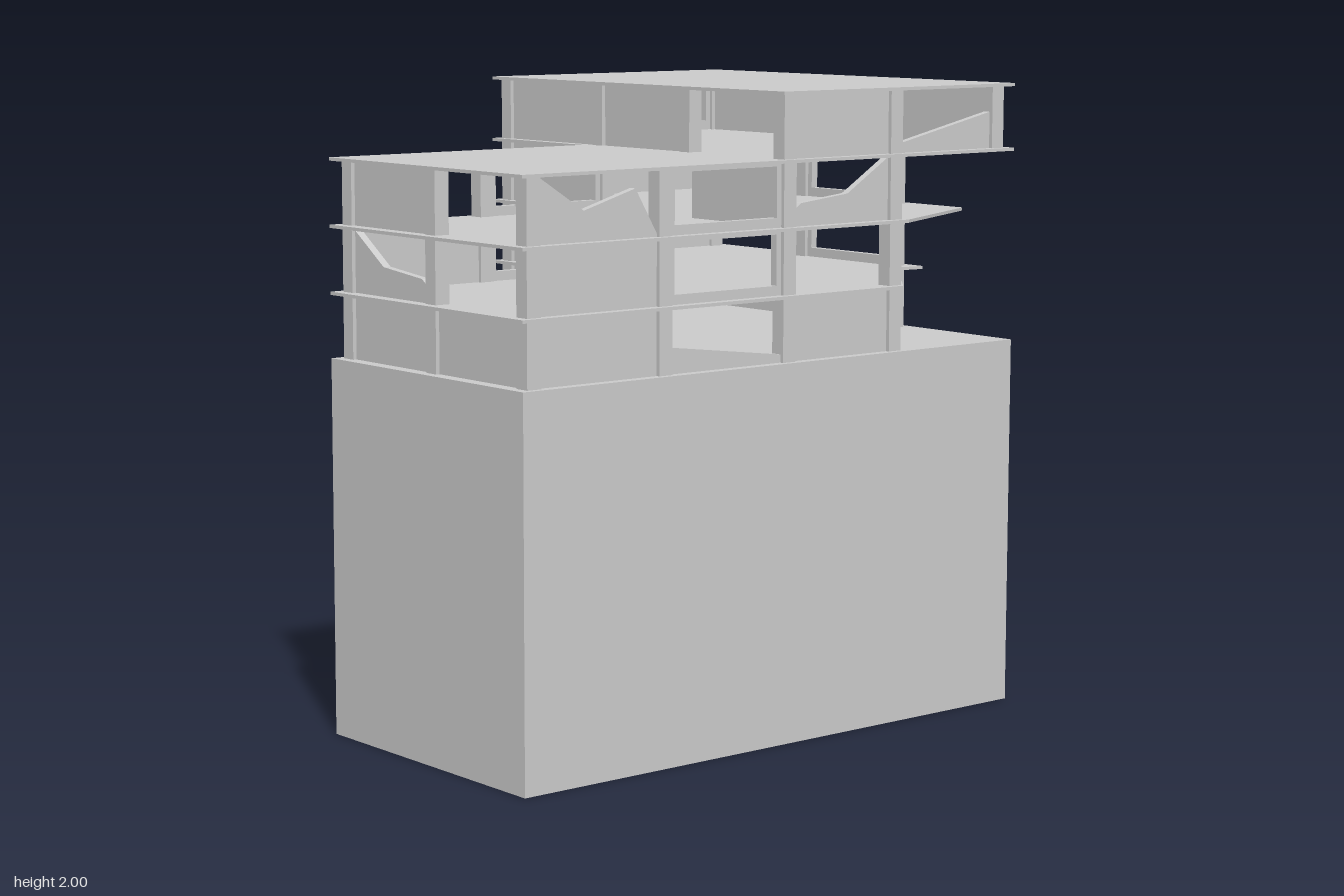
import * as THREE from 'three';

const material = new THREE.MeshStandardMaterial({ color: 0xcccccc, flatShading: true, side: THREE.DoubleSide });

const BASE = 1.18, STOREY = 0.205, SLAB = 0.01, COLUMN = 0.05, WALL = 0.025;
// Column grid lines
const X = [-0.925, -0.44, 0.045, 0.485, 0.925];
const Z = [0.685, 0.24, -0.195, -0.685];

// Flat plan outline [x, z] raised into a block with its underside at y
function planBlock(name, outline, y, height) {
  const shape = new THREE.Shape(outline.map(([x, z]) => new THREE.Vector2(x, -z)));
  const geometry = new THREE.ExtrudeGeometry(shape, { depth: height, bevelEnabled: false });
  geometry.rotateX(-Math.PI / 2);
  const mesh = new THREE.Mesh(geometry, material);
  mesh.name = name;
  mesh.position.y = y;
  return mesh;
}

// Wall panel between two columns. kind: 'solid', 'window' or a broken top edge [[u, y], ...]
function panel(along, from, to, offset, storey, kind) {
  const a = Math.min(from, to) + COLUMN / 2, b = Math.max(from, to) - COLUMN / 2;
  const y0 = BASE + storey * STOREY, y1 = y0 + STOREY - SLAB;
  const top = Array.isArray(kind) ? kind : [[a, y1], [b, y1]];
  const outline = [[a, y0], ...top, [b, y0]].map(([u, y]) => new THREE.Vector2(u, y));
  const shape = new THREE.Shape(outline);
  if (kind === 'window') {
    const l = a + 0.018, r = b - 0.018, s = y0 + 0.03, t = y1 - 0.01;
    shape.holes.push(new THREE.Path([[l, s], [r, s], [r, t], [l, t]].map(([u, y]) => new THREE.Vector2(u, y))));
  }
  const geometry = new THREE.ExtrudeGeometry(shape, { depth: WALL, bevelEnabled: false });
  geometry.translate(0, 0, -WALL / 2);
  if (along === 'z') geometry.rotateY(-Math.PI / 2);
  const mesh = new THREE.Mesh(geometry, material);
  mesh.name = kind === 'window' ? 'windowWall' : kind === 'solid' ? 'wall' : 'brokenWall';
  mesh.position[along === 'z' ? 'x' : 'z'] = offset;
  return mesh;
}

export function createModel() {
  const model = new THREE.Group();
  model.name = 'damagedBuilding';

  // L-shaped lower block
  const back = [[0.98, -0.735], [0, -0.735], [0, -0.245], [-0.98, -0.245], [-0.98, 0.73]];
  const full = [...back, [0.98, 0.73]];
  model.add(planBlock('lowerBlock', full, 0, BASE));

  // Floor slabs, the lower two broken at the front corner
  const slabs = [
    [...back, [0.5, 0.73], [0.88, 0.305], [0.98, 0.32]],
    [...back, [0.52, 0.73], [0.965, 0.51], [0.98, 0.5]],
    full,
    [[0.98, -0.735], [0, -0.735], [0, 0.73], [0.98, 0.73]],
  ];
  slabs.forEach((outline, i) => {
    const name = i === 3 ? 'upperRoof' : 'floorSlab';
    model.add(planBlock(name, outline, BASE + (i + 1) * STOREY - SLAB, SLAB));
  });

  // Columns around the perimeter: [x index, z index, first storey, last storey]
  const columns = new THREE.Group();
  columns.name = 'columns';
  const spots = [
    [0, 0, 0, 2], [1, 0, 0, 2], [2, 0, 0, 3], [3, 0, 0, 3], [4, 0, 3, 3],
    [0, 1, 0, 2], [2, 1, 3, 3], [4, 1, 0, 3],
    [0, 2, 0, 2], [1, 2, 0, 2], [2, 2, 0, 3], [4, 2, 0, 3],
    [2, 3, 0, 3], [3, 3, 0, 3], [4, 3, 0, 3],
  ];
  for (const [i, j, first, last] of spots) {
    for (let s = first; s <= last; s++) {
      const column = new THREE.Mesh(new THREE.BoxGeometry(COLUMN, STOREY - SLAB, COLUMN), material);
      column.name = 'column';
      column.position.set(X[i], BASE + s * STOREY + (STOREY - SLAB) / 2, Z[j]);
      columns.add(column);
    }
  }
  model.add(columns);

  // Broken top edges
  const frontLeftLow = [[-0.415, 1.26], [0.02, 1.205]];
  const frontEndHigh = [[-0.9, 1.785], [-0.735, 1.68], [-0.545, 1.735], [-0.465, 1.6]];
  const frontMiddle = [[0.07, 1.64], [0.1, 1.66], [0.29, 1.68], [0.46, 1.785]];
  const frontTop = [[0.51, 1.825], [0.9, 1.91]];
  const backHigh = [[0.51, 1.745], [0.68, 1.68], [0.87, 1.65], [0.9, 1.61]];
  const sideLow = [[-0.17, 1.575], [-0.02, 1.475], [0.18, 1.455], [0.215, 1.43]];

  // Bays: direction, start, end, offset, then the panel of each storey (null is open)
  const S = 'solid', W = 'window', O = null;
  const bays = [
    // front
    ['x', X[0], X[1], Z[0], [S, S, frontEndHigh]],
    ['x', X[1], X[2], Z[0], [frontLeftLow, W, W]],
    ['x', X[2], X[3], Z[0], [S, O, frontMiddle, S]],
    ['x', X[3], X[4], Z[0], [O, O, O, frontTop]],
    // +x side
    ['z', Z[0], Z[1], X[4], [O, O, O, S]],
    ['z', Z[1], Z[2], X[4], [O, W, W, W]],
    ['z', Z[2], Z[3], X[4], [S, O, S, S]],
    // back of the tall wing
    ['x', X[3], X[4], Z[3], [W, W, backHigh, W]],
    ['x', X[2], X[3], Z[3], [S, O, S, S]],
    // inner side of the tall wing
    ['z', Z[2], Z[3], X[2], [S, S, S, S]],
    ['z', Z[1], Z[2], X[2], [O, O, O, S]],
    ['z', Z[0], Z[1], X[2], [O, O, S, O]],
    // back of the low wing
    ['x', X[1], X[2], Z[2], [W, W, W]],
    ['x', X[0], X[1], Z[2], [S, S, O]],
    // -x side
    ['z', Z[0], Z[1], X[0], [S, O, O]],
    ['z', Z[1], Z[2], X[0], [S, sideLow, S]],
  ];
  const walls = new THREE.Group();
  walls.name = 'walls';
  for (const [along, from, to, offset, kinds] of bays) {
    kinds.forEach((kind, storey) => {
      if (kind) walls.add(panel(along, from, to, offset, storey, kind));
    });
  }
  model.add(walls);

  return model;
}
